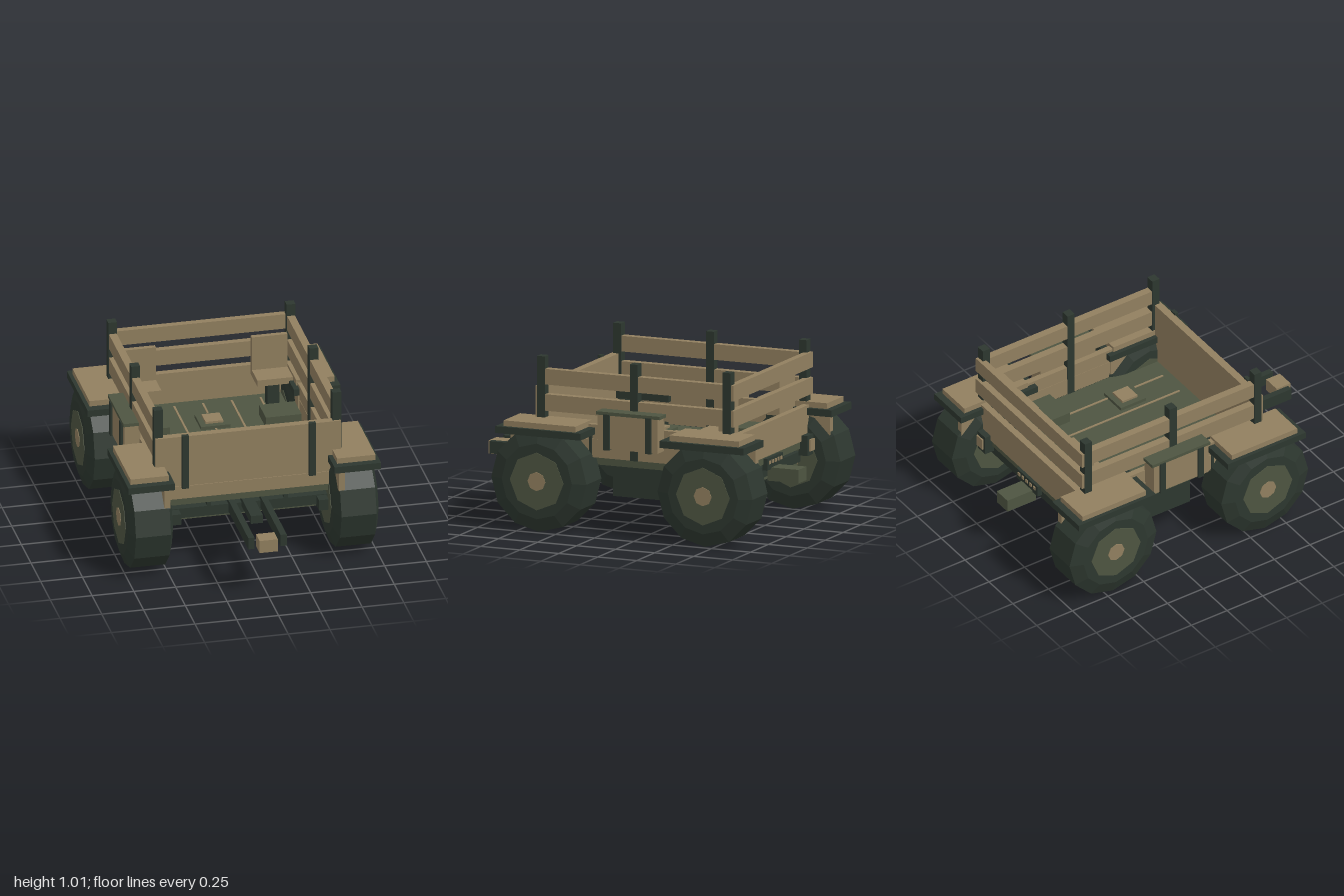
import * as THREE from 'three';

const mat = (name, color) => new THREE.MeshStandardMaterial({ name, color, flatShading: true });

export function createModel() {
  const tan = mat('tan boards', 0x917f5f);
  const olive = mat('olive metal', 0x4e5541);
  const dark = mat('dark green metal', 0x2d372f);
  const model = new THREE.Group();

  // box given by its limits on each axis
  const box = (name, m, [x0, x1], [y0, y1], [z0, z1]) => {
    const mesh = new THREE.Mesh(new THREE.BoxGeometry(x1 - x0, y1 - y0, z1 - z0), m);
    mesh.position.set((x0 + x1) / 2, (y0 + y1) / 2, (z0 + z1) / 2);
    mesh.name = name;
    model.add(mesh);
  };
  // the same box on both sides
  const pair = (name, m, [x0, x1], y, z) => {
    box(name, m, [x0, x1], y, z);
    box(name, m, [-x1, -x0], y, z);
  };
  // cylinder lying along x
  const roller = (name, m, r, length, sides, parent) => {
    const mesh = new THREE.Mesh(new THREE.CylinderGeometry(r, r, length, sides).rotateZ(-Math.PI / 2), m);
    mesh.name = name;
    parent.add(mesh);
  };

  // floor, seams and hatches
  box('floor', olive, [-0.51, 0.51], [0.385, 0.435], [-0.79, 0.46]);
  box('underFloor', dark, [-0.48, 0.48], [0.375, 0.385], [-0.77, 0.44]);
  for (const x of [-0.345, -0.172, 0, 0.172, 0.345])
    box('floorSeam', tan, [x - 0.006, x + 0.006], [0.435, 0.44], [-0.71, 0.37]);
  for (const [x, z] of [[0, -0.46], [-0.293, 0.07], [0.293, 0.07]]) {
    box('hatchBase', olive, [x - 0.088, x + 0.088], [0.435, 0.455], [z - 0.088, z + 0.088]);
    box('hatchTop', tan, [x - 0.053, x + 0.053], [0.455, 0.468], [z - 0.053, z + 0.053]);
  }

  // front wall
  box('frontWall', tan, [-0.555, 0.555], [0.43, 0.83], [0.422, 0.468]);
  box('frontSill', tan, [-0.555, 0.555], [0.43, 0.51], [0.46, 0.473]);
  pair('frontBatten', dark, [0.36, 0.4], [0.5, 0.842], [0.465, 0.488]);

  // side and back boards
  pair('sideBoard', tan, [0.51, 0.555], [0.436, 0.545], [-0.8, 0.44]);
  pair('sideBoardUpper', tan, [0.512, 0.55], [0.545, 0.63], [-0.8, 0.44]);
  for (const y of [[0.687, 0.785], [0.843, 0.936]]) {
    pair('sideRail', tan, [0.51, 0.556], y, [-0.8, 0.445]);
    box('backRail', tan, [-0.556, 0.556], y, [-0.802, -0.762]);
  }
  box('backBoard', tan, [-0.556, 0.556], [0.43, 0.63], [-0.802, -0.762]);
  for (const z of [0.43, -0.165, -0.76])
    pair('post', dark, [0.507, 0.56], [0.435, 1.01], [z - 0.025, z + 0.025]);

  // seats in the back corners with footrests
  pair('seatBack', tan, [0.287, 0.5], [0.61, 0.847], [-0.712, -0.682]);
  pair('seatCushion', tan, [0.287, 0.5], [0.595, 0.635], [-0.712, -0.54]);
  pair('seatLeg', dark, [0.36, 0.43], [0.435, 0.595], [-0.66, -0.59]);
  pair('footrest', olive, [0.287, 0.5], [0.435, 0.5], [-0.495, -0.32]);

  // strapped side boxes
  pair('sideBox', tan, [0.545, 0.64], [0.51, 0.715], [-0.355, 0.03]);
  pair('sideBoxLid', olive, [0.545, 0.647], [0.712, 0.732], [-0.37, 0.037]);
  for (const z of [-0.03, -0.297])
    pair('sideBoxStrap', dark, [0.6, 0.653], [0.505, 0.718], [z - 0.019, z + 0.019]);

  // wheels, fenders, axles and chassis beams
  const tyreGeometry = new THREE.LatheGeometry(
    [[0, -0.135], [0.225, -0.135], [0.305, -0.105], [0.305, 0.105], [0.225, 0.135], [0, 0.135]]
      .map(p => new THREE.Vector2(...p)), 12).rotateZ(-Math.PI / 2);
  for (const [z, fender, top, beam] of [
    [0.37, [0.088, 0.634], [0.13, 0.59], [0.4, 0.45]],
    [-0.695, [-0.959, -0.418], [-0.917, -0.472], [-0.76, -0.7]],
  ]) {
    for (const side of [-1, 1]) {
      const wheel = new THREE.Group();
      wheel.name = 'wheel';
      wheel.position.set(side * 0.615, 0.305, z);
      const tyre = new THREE.Mesh(tyreGeometry, dark);
      tyre.name = 'tyre';
      wheel.add(tyre);
      roller('rim', olive, 0.172, 0.276, 8, wheel);
      roller('hub', tan, 0.057, 0.282, 8, wheel);
      model.add(wheel);
    }
    pair('fender', dark, [0.477, 0.756], [0.572, 0.613], fender);
    pair('fenderTop', tan, [0.503, 0.733], [0.613, 0.647], top);
    pair('fenderBracket', tan, [0.503, 0.54], [0.455, 0.575], [fender[0] + 0.022, fender[1] - 0.001]);
    box('axle', olive, [-0.5, 0.5], [0.266, 0.35], [z - 0.042, z + 0.042]);
    box('chassisBeam', dark, [-0.48, 0.48], [0.293, 0.355], beam);
    pair('beamMount', dark, [0.218, 0.242], [0.35, 0.378], beam);
  }
  pair('fenderStay', dark, [0.515, 0.56], [0.455, 0.572], [0.105, 0.122]);

  // tanks
  pair('underTank', dark, [0.29, 0.48], [0.2, 0.376], [-0.41, 0.005]);
  pair('tankCap', tan, [0.36, 0.4], [0.29, 0.322], [0.005, 0.03]);

  // drawbar
  pair('drawbarArm', dark, [0.078, 0.115], [0.305, 0.378], [0.1, 0.965]);
  box('drawbarSpine', dark, [-0.036, 0.036], [0.33, 0.38], [0.1, 0.69]);
  box('couplingBlock', tan, [-0.055, 0.055], [0.29, 0.368], [0.9, 0.997]);

  // rear hitch
  box('hitchPlate', dark, [-0.11, 0.11], [0.35, 0.42], [-0.815, -0.785]);
  for (const x of [-0.08, -0.04, 0, 0.04, 0.08])
    box('hitchBolt', tan, [x - 0.01, x + 0.01], [0.385, 0.405], [-0.821, -0.81]);
  box('rearHitch', olive, [-0.056, 0.056], [0.28, 0.36], [-0.99, -0.79]);

  // lamps
  pair('frontLamp', dark, [0.412, 0.47], [0.283, 0.35], [0.44, 0.515]);
  pair('rearLamp', dark, [0.4, 0.5], [0.345, 0.465], [-0.84, -0.78]);
  pair('rearLens', tan, [0.418, 0.482], [0.37, 0.44], [-0.849, -0.84]);

  return model;
}
